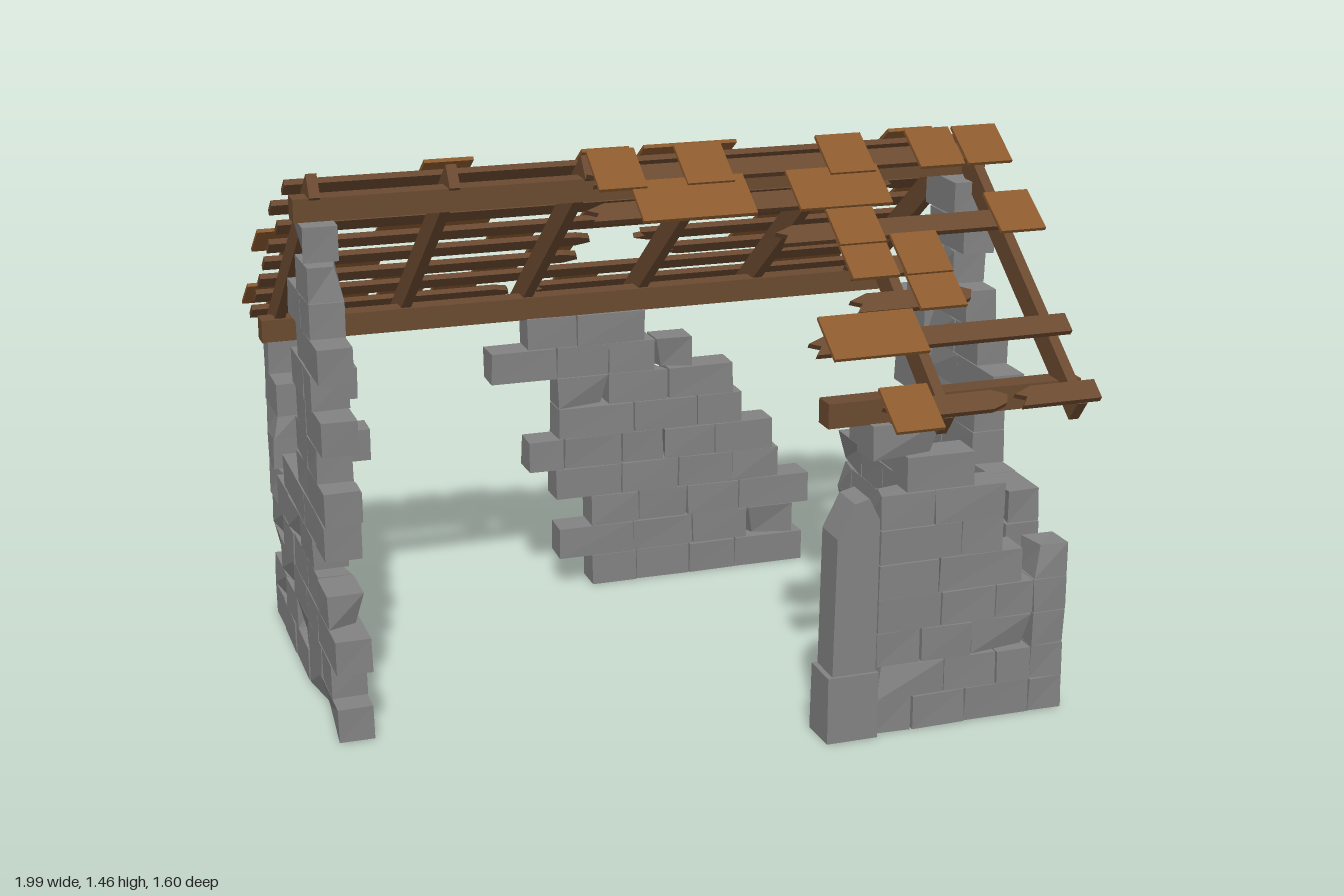
import * as THREE from 'three';

const mat = (name, color) => {
  const m = new THREE.MeshStandardMaterial({ color, flatShading: true });
  m.name = name;
  return m;
};

export function createModel() {
  const stone = mat('stone grey', 0x828282);
  const timber = mat('timber brown', 0x6a4930);
  const tile = mat('shingle brown', 0x8b5a2e);
  const model = new THREE.Group();
  model.name = 'ruinedHouse';

  let seed = 11;
  const rnd = () => (seed = (seed * 16807) % 2147483647) / 2147483647;

  const add = (parent, name, geo, material, x = 0, y = 0, z = 0) => {
    const mesh = new THREE.Mesh(geo, material);
    mesh.name = name;
    mesh.position.set(x, y, z);
    parent.add(mesh);
    return mesh;
  };

  // Rough block: corners nudged inward, now and then one is chipped
  const blockGeo = (w, h, d) => {
    const g = new THREE.BoxGeometry(w, h, d);
    const p = g.attributes.position;
    const nudges = Array.from({ length: 8 }, () => [rnd() * 0.004, rnd() * 0.002, rnd() * 0.005]);
    if (rnd() < 0.35) nudges[Math.floor(rnd() * 8)] = [0.022, 0.006, 0.02];
    for (let i = 0; i < p.count; i++) {
      const v = [p.getX(i), p.getY(i), p.getZ(i)];
      const n = nudges[(v[0] > 0 ? 1 : 0) + (v[1] > 0 ? 2 : 0) + (v[2] > 0 ? 4 : 0)];
      p.setXYZ(i, ...v.map((c, k) => c - Math.sign(c) * n[k]));
    }
    g.computeVertexNormals();
    return g;
  };

  // Wall from courses; each course lists start, end pairs along the wall
  const COURSE = 0.0942, THICK = 0.093;
  const wall = (name, alongZ, offset, courses) => {
    const g = new THREE.Group();
    g.name = name;
    courses.forEach((spans, row) => {
      for (let i = 0; i < spans.length; i += 2) {
        const [a, b] = [spans[i], spans[i + 1]];
        const n = Math.max(1, Math.round((b - a) / 0.17));
        const cuts = [a];
        for (let k = 1; k < n; k++) cuts.push(a + (b - a) * (k + (row % 2 ? 0.22 : -0.22) + (rnd() - 0.5) * 0.2) / n);
        cuts.push(b);
        for (let k = 0; k < n; k++) {
          const len = cuts[k + 1] - cuts[k], mid = (cuts[k] + cuts[k + 1]) / 2;
          const t = THICK + rnd() * 0.008;
          const geo = alongZ ? blockGeo(t, COURSE, len) : blockGeo(len, COURSE, t);
          add(g, 'stoneBlock', geo, stone, alongZ ? offset : mid, (row + 0.5) * COURSE, alongZ ? mid : offset);
        }
      }
    });
    model.add(g);
  };

  wall('rightGable', true, 0.883, [
    [-0.66, 0.66], [-0.66, 0.66], [-0.66, 0.66], [-0.66, 0.47, 0.55, 0.66],
    [-0.57, 0, 0.19, 0.49, 0.57, 0.66], [-0.43, 0.49], [-0.19, 0.27], [-0.26, 0.27], [-0.19, 0.37],
    [-0.29, 0.27], [-0.19, 0.19], [-0.25, 0.11], [-0.06, 0.16], [-0.09, 0.1],
  ]);
  wall('leftGable', true, -0.893, [
    [-0.66, 0.27], [-0.66, 0.2], [-0.66, 0.27], [-0.66, 0.19], [-0.66, 0],
    [-0.66, -0.57, -0.43, 0.19], [-0.66, -0.55, -0.19, 0.2], [-0.66, -0.47, -0.19, 0.12],
    [-0.66, -0.57, -0.15, 0.2], [-0.19, 0.1], [-0.1, 0.19], [-0.19, 0.1], [-0.06, 0.1], [-0.09, 0.06],
  ]);
  wall('backWall', false, -0.612, [
    [-0.845, -0.75, 0, 0.68], [-0.1, 0.65], [-0.845, -0.76, 0, 0.7], [-0.845, -0.69, -0.11, 0.6],
    [-0.845, -0.77, -0.19, 0.58], [-0.845, -0.66, -0.1, 0.48], [-0.845, -0.77, -0.1, 0.45],
    [-0.845, -0.69, -0.3, 0.32], [-0.845, -0.76, -0.19, 0.17],
  ]);
  wall('frontWall', false, 0.612, [
    [0.39, 0.835], [0.39, 0.835], [0.39, 0.835], [0.39, 0.835], [0.39, 0.8],
    [0.39, 0.74], [0.39, 0.74], [0.46, 0.65], [0.36, 0.55],
  ]);

  // Door jamb with a broken, pointed top
  add(model, 'jambBase', blockGeo(0.145, 0.185, 0.12), stone, 0.32, 0.0925, 0.62);
  const jamb = new THREE.Shape([[0.265, 0.18], [0.385, 0.18], [0.385, 0.6], [0.355, 0.66], [0.315, 0.65], [0.27, 0.56]]
    .map(([x, y]) => new THREE.Vector2(x, y)));
  add(model, 'doorJamb', new THREE.ExtrudeGeometry(jamb, { depth: 0.1, bevelEnabled: false }), stone, 0, 0, 0.567);

  // Long beams
  add(model, 'ridgeBeam', new THREE.BoxGeometry(1.91, 0.06, 0.062), timber, 0, 1.355, 0);
  add(model, 'backWallPlate', new THREE.BoxGeometry(1.91, 0.065, 0.062), timber, 0, 0.878, -0.605);
  add(model, 'frontWallPlate', new THREE.BoxGeometry(0.7, 0.065, 0.062), timber, 0.6, 0.878, 0.605);

  // Flat batten whose ends are splintered where they stop short of the gables
  const battenGeo = (a, b, w) => {
    const h = w / 2, pts = [];
    if (a > -0.9) pts.push([a + 0.05, h], [a, 0.3 * h], [a + 0.03, -0.1 * h], [a + 0.01, -h]);
    else pts.push([a, h], [a, -h]);
    if (b < 0.9) pts.push([b - 0.05, -h], [b - 0.01, -0.5 * h], [b, 0.4 * h], [b - 0.04, h]);
    else pts.push([b, -h], [b, h]);
    const s = new THREE.Shape(pts.map(([x, y]) => new THREE.Vector2(x, y)));
    return new THREE.ExtrudeGeometry(s, { depth: 0.016, bevelEnabled: false }).rotateX(-Math.PI / 2);
  };

  // One roof slope: side is 1 for front, -1 for back; rows give distance out from the ridge
  const PITCH = 0.651, COS = Math.cos(PITCH);
  const slope = (name, side, rafters, battens, shingles) => {
    const g = new THREE.Group();
    g.name = name;
    g.position.y = 1.442;
    g.rotation.x = side * PITCH;
    for (const x of rafters) add(g, 'rafter', new THREE.BoxGeometry(0.028, 0.068, 0.93), timber, x, -0.034, side * 0.465);
    for (const [out, ...spans] of battens)
      for (let i = 0; i < spans.length; i += 2)
        add(g, 'batten', battenGeo(spans[i], spans[i + 1], 0.058), timber, 0, 0, side * out / COS);
    for (const [out, ...xs] of shingles)
      for (const x of xs) {
        const m = add(g, 'shingle', new THREE.BoxGeometry(0.13, 0.01, 0.142), tile, x, 0.022, side * out / COS);
        m.rotation.x = -side * 0.06;
      }
    model.add(g);
  };

  slope('backRoof', -1, [-0.9, -0.54, -0.18, 0.17, 0.53, 0.9],
    [[0.07, -0.96, 0.95], [0.165, -0.98, 0.95], [0.265, -0.95, 0.66, 0.78, 0.95], [0.36, -0.96, 0.95],
      [0.45, -0.96, -0.03, 0.1, 0.95], [0.545, -0.96, -0.04, 0.22, 0.95], [0.63, -0.96, 0.95],
      [0.72, -0.96, -0.2, -0.13, 0.95]],
    [[0.065, -0.54, -0.12, 0.05, 0.18, 0.75], [0.16, -0.86, -0.7, -0.41, 0.26, 0.41, 0.56, 0.88],
      [0.255, -0.36, -0.23, 0.07, 0.41, 0.54, 0.87], [0.35, -0.93, -0.6, -0.42, -0.02, 0.36, 0.48, 0.62, 0.92],
      [0.45, -0.85, -0.27, 0.53, 0.66], [0.535, -0.69, -0.13, 0.49, 0.64],
      [0.64, -0.92, -0.56, -0.27], [0.73, -0.85, -0.69, -0.53, -0.37, 0, 0.65, 0.78]]);
  slope('frontRoof', 1, [0.53, 0.9],
    [[0.07, -0.2, 0.95], [0.165, -0.23, 0.45], [0.26, 0.25, 0.95], [0.36, 0.4, 0.62],
      [0.45, 0.38, 0.72], [0.545, 0.23, 0.95], [0.715, 0.36, 0.7, 0.72, 0.95]],
    [[0.06, -0.12, 0.12, 0.52, 0.78, 0.92], [0.15, -0.03, 0.1, 0.15, 0.4, 0.53], [0.25, 0.47, 0.93],
      [0.34, 0.47, 0.62], [0.43, 0.62], [0.535, 0.34, 0.47], [0.72, 0.43]]);

  return model;
}
